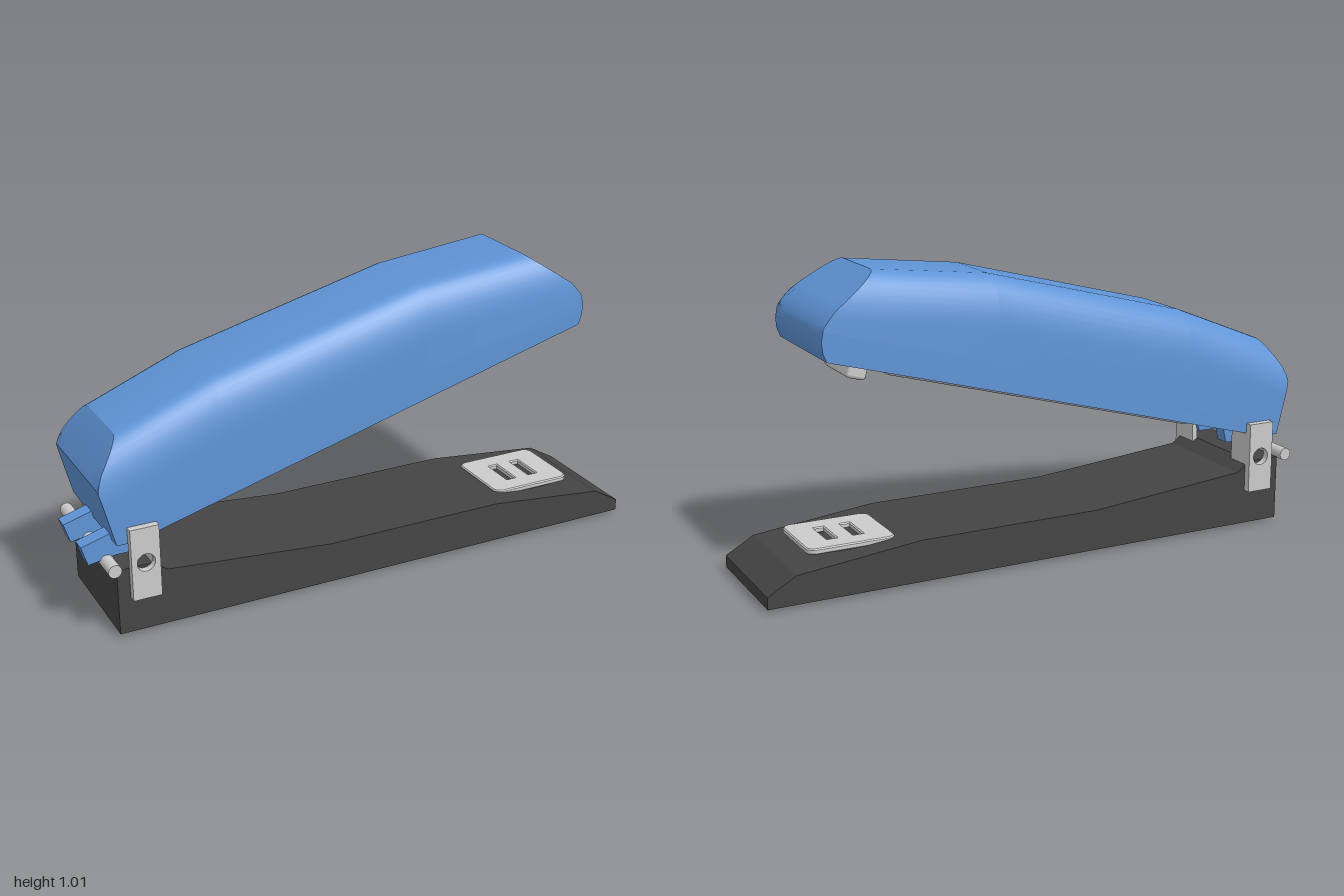
import * as THREE from 'three';
import { toCreasedNormals } from 'three/addons/utils/BufferGeometryUtils.js';
import { RoundedBoxGeometry } from 'three/addons/geometries/RoundedBoxGeometry.js';

const metal = new THREE.MeshStandardMaterial({ color: 0xcccccc });
const blue = new THREE.MeshStandardMaterial({ color: 0x5f94d6 });
const charcoal = new THREE.MeshStandardMaterial({ color: 0x444444 });
const rubber = new THREE.MeshStandardMaterial({ color: 0x2e2838 });

const HALF = 0.21; // half width of base and body
const SLOPE = 0.273; // rise of the open body's underside
const underside = (x) => 0.32 + SLOPE * (x + 0.88);

function add(parent, name, geometry, material, x = 0, y = 0, z = 0) {
  const mesh = new THREE.Mesh(geometry, material);
  mesh.name = name;
  mesh.position.set(x, y, z);
  parent.add(mesh);
  return mesh;
}

const shapeOf = (points) => new THREE.Shape(points.map(([x, y]) => new THREE.Vector2(x, y)));

// Side outline extruded across the width, centred on z = 0
function slab(shape, width) {
  return new THREE.ExtrudeGeometry(shape, { depth: width, bevelEnabled: false, curveSegments: 16 })
    .translate(0, 0, -width / 2);
}

// Linear interpolation through [key, value] pairs
function lerpTable(table, k) {
  let i = 1;
  while (i < table.length - 1 && k > table[i][0]) i++;
  const [k0, v0] = table[i - 1], [k1, v1] = table[i];
  return v0 + (v1 - v0) * (k - k0) / (k1 - k0);
}

// Body: a roof with rounded shoulders, cut by a sloping nose and tail
function bodyGeometry() {
  const roof = [[-0.9, 0.655], [-0.578, 0.785], [0.147, 0.97], [0.545, 1.015]]; // x -> y
  const nose = [[0.76, 0.73], [0.79, 0.742], [0.825, 0.745], [0.865, 0.737], [0.91, 0.7], [1.015, 0.545]]; // y -> x
  const tail = [[0.32, -0.94], [0.51, -0.988], [0.56, -0.967], [0.655, -0.9]]; // y -> x
  const steps = 10, flat = 0.115, drop = 0.17;

  const sections = [];
  for (let i = 0; i <= steps; i++) {
    const a = (i / steps) * Math.PI / 2;
    sections.push([flat + (HALF - flat) * Math.sin(a), drop * (1 - Math.cos(a))]);
  }
  const across = [...sections].reverse().map(([z, d]) => [-z, d]).concat(sections);

  const meet = (cut, d) => { // height where the lowered roof meets an end cut
    let y = 0.8;
    for (let n = 0; n < 40; n++) y = lerpTable(roof, lerpTable(cut, y)) - d;
    return y;
  };
  const rings = across.map(([z, d]) => {
    const yTail = meet(tail, d), yNose = meet(nose, d), ring = [];
    const split = Math.min(0.51, yTail - 0.004);
    for (const y of [0.32, split, split + (yTail - split) / 2, yTail]) ring.push([lerpTable(tail, y), y, z]);
    for (const [x, y] of roof.slice(1, 3)) ring.push([x, y - d, z]);
    for (let k = 0; k <= 12; k++) {
      const y = yNose + (0.76 - yNose) * k / 12;
      ring.push([lerpTable(nose, y), y, z]);
    }
    ring.push([-0.88, 0.32, z]);
    return ring;
  });

  const position = [];
  const tri = (...p) => p.forEach((q) => position.push(...q));
  const n = rings[0].length;
  for (let i = 0; i < rings.length - 1; i++) {
    for (let j = 0; j < n; j++) {
      const k = (j + 1) % n;
      const a = rings[i][j], b = rings[i][k], c = rings[i + 1][k], d = rings[i + 1][j];
      tri(a, d, c);
      tri(a, c, b);
    }
  }
  const last = rings.length - 1;
  for (let j = 0; j < n; j++) {
    const k = (j + 1) % n;
    tri([-0.05, 0.65, -HALF], rings[0][j], rings[0][k]);
    tri([-0.05, 0.65, HALF], rings[last][k], rings[last][j]);
  }
  const geometry = new THREE.BufferGeometry();
  geometry.setAttribute('position', new THREE.Float32BufferAttribute(position, 3));
  return toCreasedNormals(geometry, 0.5);
}

// Rounded rectangle, centred on the origin
function roundedRect(w, h, r) {
  const s = new THREE.Shape(), x = w / 2, y = h / 2;
  s.absarc(x - r, y - r, r, 0, Math.PI / 2);
  s.absarc(r - x, y - r, r, Math.PI / 2, Math.PI);
  s.absarc(r - x, r - y, r, Math.PI, Math.PI * 1.5);
  s.absarc(x - r, r - y, r, Math.PI * 1.5, Math.PI * 2);
  return s;
}

export function createModel() {
  const model = new THREE.Group();
  model.name = 'stapler';
  const tool = new THREE.Group();
  tool.name = 'turnedStapler';
  tool.position.set(0.035, 0, 0.012);
  tool.rotation.y = -0.314;
  model.add(tool);

  // Base and rubber foot
  const baseShape = shapeOf([[-0.946, 0.01], [0.946, 0.01], [0.946, 0.05], [0.85, 0.105], [0.43, 0.15],
    [-0.21, 0.15], [-0.78, 0.2], [-0.83, 0.235], [-0.946, 0.235]]);
  add(tool, 'base', slab(baseShape, HALF * 2), charcoal);
  add(tool, 'rubberFoot', new THREE.BoxGeometry(0.142, 0.012, 0.34), rubber, -0.824, 0.006, 0);

  // Anvil plate with two staple slots
  const plate = roundedRect(0.3, 0.264, 0.03);
  for (const x of [-0.045, 0.045]) {
    plate.holes.push(shapeOf([[x - 0.016, -0.06], [x - 0.016, 0.06], [x + 0.016, 0.06], [x + 0.016, -0.06]]));
  }
  const anvil = new THREE.ExtrudeGeometry(plate, {
    depth: 0.012, bevelThickness: 0.004, bevelSize: 0.004, bevelOffset: -0.004, bevelSegments: 1,
  });
  add(tool, 'anvilPlate', anvil.rotateX(-Math.PI / 2), metal, 0.632, 0.134, 0);

  // Upper body
  add(tool, 'body', bodyGeometry(), blue);

  // Staple rail and staple exit under the body
  const tilt = Math.atan(SLOPE);
  const rail = add(tool, 'stapleRail', new RoundedBoxGeometry(1.2, 0.05, 0.1, 3, 0.02), metal,
    -0.11, underside(-0.11) - 0.006, 0);
  const exit = add(tool, 'stapleExit', new RoundedBoxGeometry(0.065, 0.08, 0.21, 2, 0.012), metal,
    0.586, underside(0.586) - 0.012, 0);
  rail.rotation.z = exit.rotation.z = tilt;

  // Hinge brackets: a drilled side plate with an inward web
  for (const side of [-1, 1]) {
    const bracket = new THREE.Group();
    bracket.name = side > 0 ? 'leftHingeBracket' : 'rightHingeBracket';
    tool.add(bracket);
    const shape = shapeOf([[-0.905, 0.13], [-0.81, 0.13], [-0.81, 0.375], [-0.905, 0.375]]);
    shape.holes.push(new THREE.Path().absarc(-0.857, 0.255, 0.03, 0, Math.PI * 2, true));
    add(bracket, 'sidePlate', slab(shape, 0.025), metal, 0, 0, side * 0.2225);
    add(bracket, 'web', new THREE.BoxGeometry(0.02, 0.13, 0.09), metal, -0.82, 0.29, side * 0.169);
  }

  // Hinge rod and the two tabs that rest on it
  const rod = new THREE.CylinderGeometry(0.022, 0.022, 0.48, 20).rotateX(Math.PI / 2);
  add(tool, 'hingeRod', rod, metal, -0.96, 0.25, 0);
  const tab = shapeOf([[-1.04, 0.315], [-1.02, 0.25], [-0.93, 0.265], [-0.83, 0.265], [-0.81, 0.35], [-0.92, 0.35]]);
  for (const z of [-0.035, 0.137]) add(tool, 'hingeTab', slab(tab, 0.052), blue, 0, 0, z);

  return model;
}
